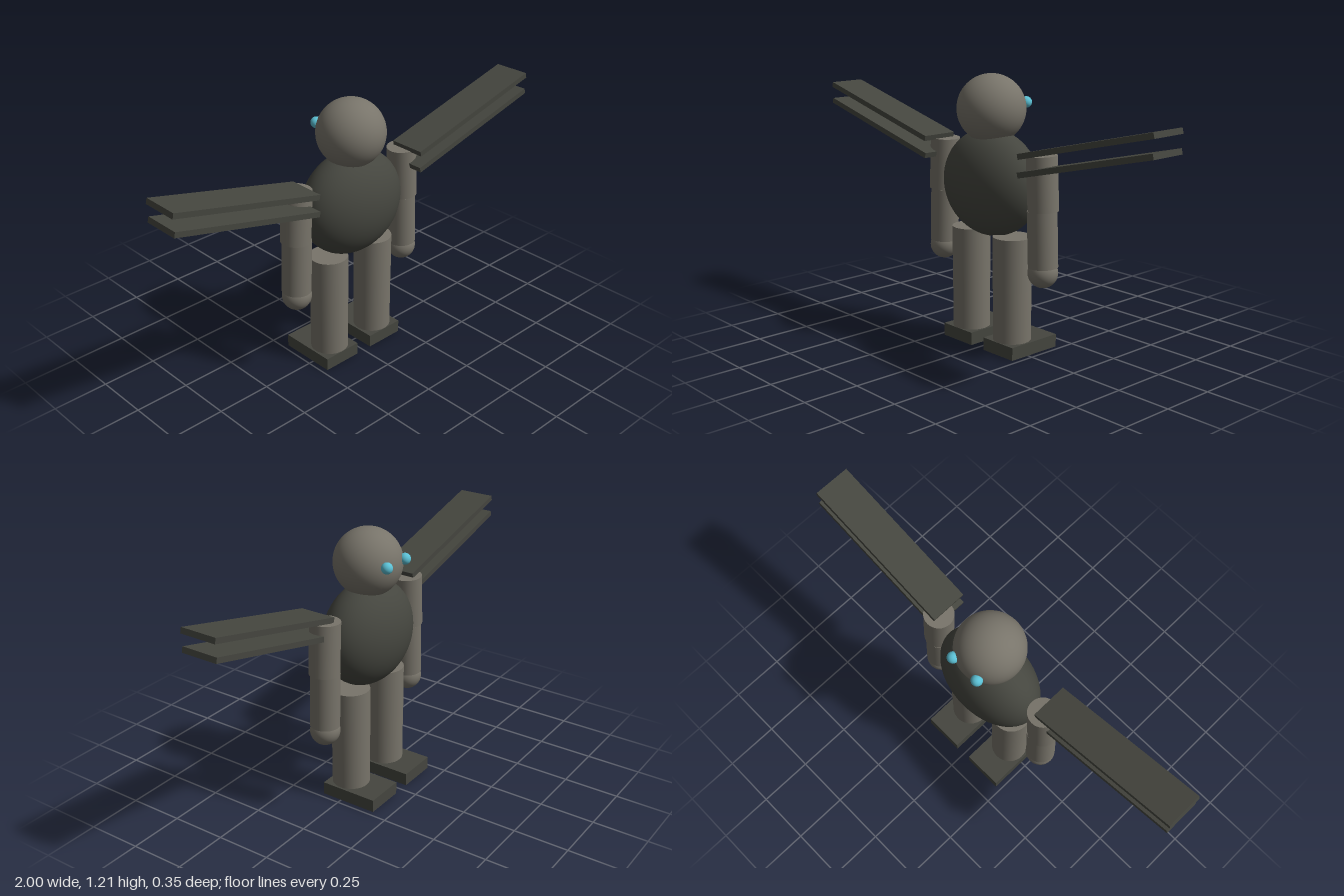
import * as THREE from 'three';

const material = (name, color) => {
  const m = new THREE.MeshStandardMaterial({ color });
  m.name = name;
  return m;
};

export function createModel() {
  const stone = material('stone grey', 0x78746a);
  const dark = material('dark slate', 0x45463f);
  const cyan = material('eye cyan', 0x5bc0d4);

  const model = new THREE.Group();
  model.name = 'wingedGolem';
  const Z = 0.009; // depth of the body axis

  const add = (name, geometry, mat, x, y, z) => {
    const mesh = new THREE.Mesh(geometry, mat);
    mesh.name = name;
    mesh.position.set(x, y, z);
    model.add(mesh);
    return mesh;
  };

  // Round limb segment between two points in the x-y plane
  const limb = (name, r, x0, y0, x1, y1) => {
    const length = Math.hypot(x1 - x0, y1 - y0);
    const mesh = add(name, new THREE.CylinderGeometry(r, r, length, 32), stone, (x0 + x1) / 2, (y0 + y1) / 2, Z);
    mesh.rotation.z = Math.atan2(x0 - x1, y1 - y0);
    return mesh;
  };

  // Egg-shaped torso and round head
  const torso = add('torso', new THREE.SphereGeometry(1, 48, 32), dark, 0, 0.74, Z);
  torso.scale.set(0.255, 0.235, 0.165);
  add('head', new THREE.SphereGeometry(0.15, 48, 32), stone, 0, 1.062, Z);

  for (const [side, s] of [['left', 1], ['right', -1]]) {
    // Eyes on the -z side of the head
    add(side + 'Eye', new THREE.SphereGeometry(0.025, 24, 16), cyan, s * 0.068, 1.083, -0.132);

    // Arm, leaning slightly outward, with a ball hand
    limb(side + 'UpperArm', 0.066, s * 0.319, 0.667, s * 0.307, 0.9);
    limb(side + 'Forearm', 0.064, s * 0.321, 0.425, s * 0.312, 0.667);
    add(side + 'Hand', new THREE.SphereGeometry(0.065, 32, 24), stone, s * 0.32, 0.4, Z);

    // Leg and flat foot
    limb(side + 'Thigh', 0.085, s * 0.133, 0.287, s * 0.133, 0.523);
    limb(side + 'Shin', 0.084, s * 0.133, 0.05, s * 0.133, 0.287);
    add(side + 'Foot', new THREE.BoxGeometry(0.185, 0.058, 0.267), dark, s * 0.133, 0.029, -0.039);

    // Two stacked wing blades
    [['Upper', 0.996], ['Lower', 0.919]].forEach(([level, y]) => {
      const wing = add(side + level + 'Wing', new THREE.BoxGeometry(0.724, 0.024, 0.166), dark, s * 0.646, y, 0.055);
      wing.rotation.z = s * 0.245;
    });
  }

  return model;
}
